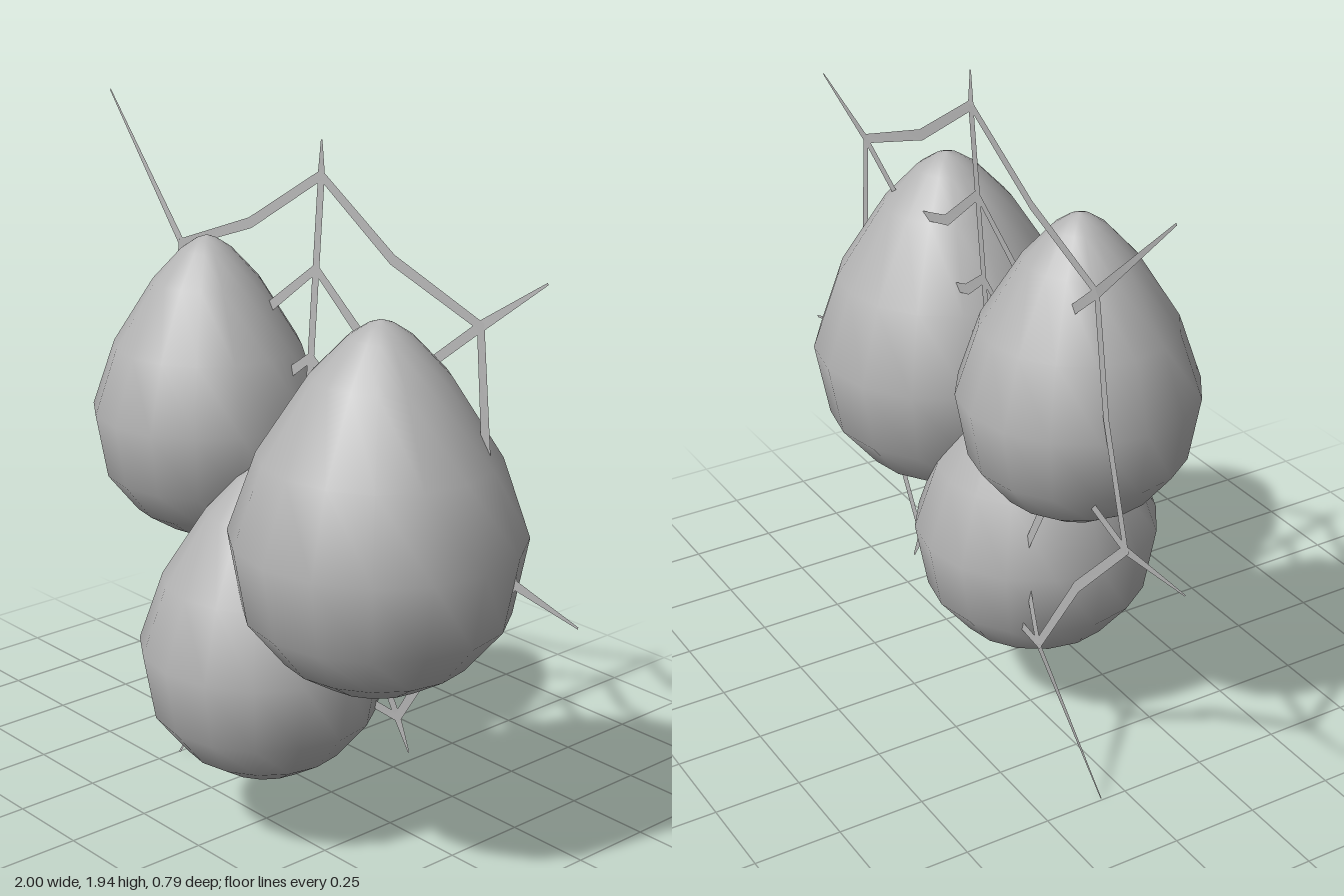
import * as THREE from 'three';

export function createModel() {
  const model = new THREE.Group();
  const grey = new THREE.MeshStandardMaterial({ color: 0xb4b4b4, side: THREE.DoubleSide });
  grey.name = 'silk grey';

  const add = (name, geometry, parent) => {
    const mesh = new THREE.Mesh(geometry, grey);
    mesh.name = name;
    parent.add(mesh);
    return mesh;
  };

  // Egg sacs: one teardrop profile (radius, height), one unit tall
  const profile = [
    [0, 0], [0.145, 0.03], [0.25, 0.095], [0.352, 0.22], [0.39, 0.43],
    [0.315, 0.645], [0.18, 0.855], [0.085, 0.955], [0.035, 0.988], [0, 1],
  ].map(([r, y]) => new THREE.Vector2(r, y));
  const eggGeometry = new THREE.LatheGeometry(profile, 16);
  const eggs = [
    ['upperRightEgg', -0.28, 0.80, -0.025, 0.825, 0.85],
    ['upperLeftEgg', 0.44, 0.565, 0, 1, 1],
    ['lowerEgg', 0.05, 0.195, 0.05, 0.885, 0.9],
  ];
  for (const [name, x, y, z, width, height] of eggs) {
    const egg = add(name, eggGeometry, model);
    egg.position.set(x, y, z);
    egg.scale.set(width, height, width);
  }

  // Flat ribbon joining pairs of edge points
  const ribbon = (pairs) => {
    const g = new THREE.BufferGeometry();
    const index = [];
    for (let i = 0; i < pairs.length - 1; i++) {
      const a = i * 2;
      index.push(a, a + 1, a + 2, a + 1, a + 3, a + 2);
    }
    g.setAttribute('position', new THREE.Float32BufferAttribute(pairs.flat(2), 3));
    g.setIndex(index);
    g.computeVertexNormals();
    return g;
  };

  // Web: a shallow dish with seven spokes
  const web = new THREE.Group();
  web.name = 'web';
  web.position.set(0.05, 1.09, 0);
  model.add(web);
  const outerRadius = 0.757;
  const dish = (r) => -0.095 - 0.05 * Math.min(1, r / outerRadius);
  const polar = (r, a) => [r * Math.sin(a), r * Math.cos(a), dish(r)];

  // Sagging threads between the spokes
  const rings = [[outerRadius, 0.856], [0.51, 0.81], [0.27, 0.82]];
  for (const [radius, sag] of rings) {
    const pairs = [];
    for (let i = 0; i <= 14; i++) {
      const r = radius * (i % 2 ? sag : 1);
      const a = (i / 7) * Math.PI;
      pairs.push([polar(r + 0.015, a), polar(r - 0.015, a)]);
    }
    add('webRing', ribbon(pairs), web);
  }

  // Spokes, each drawn out to its own anchor point, clockwise from the top
  const tips = [
    [0, 0.85, -0.145], [0.78, 0.61, -0.175], [0.95, -0.22, -0.15], [0.375, -0.77, -0.145],
    [-0.545, -1.09, -0.075], [-0.92, -0.22, -0.09], [-1.05, 0.84, -0.245],
  ];
  tips.forEach((tip, i) => {
    const a = (i / 7) * Math.PI * 2;
    const edge = ([x, y, z], half, angle) => [
      [x - half * Math.cos(angle), y + half * Math.sin(angle), z],
      [x + half * Math.cos(angle), y - half * Math.sin(angle), z],
    ];
    const knot = polar(outerRadius, a);
    const out = Math.atan2(tip[0] - knot[0], tip[1] - knot[1]);
    add('webSpoke', ribbon([edge(polar(0, a), 0.013, a), edge(knot, 0.013, a)]), web);
    add('anchorThread', ribbon([edge(knot, 0.014, out), edge(tip, 0.003, out)]), web);
  });

  return model;
}
